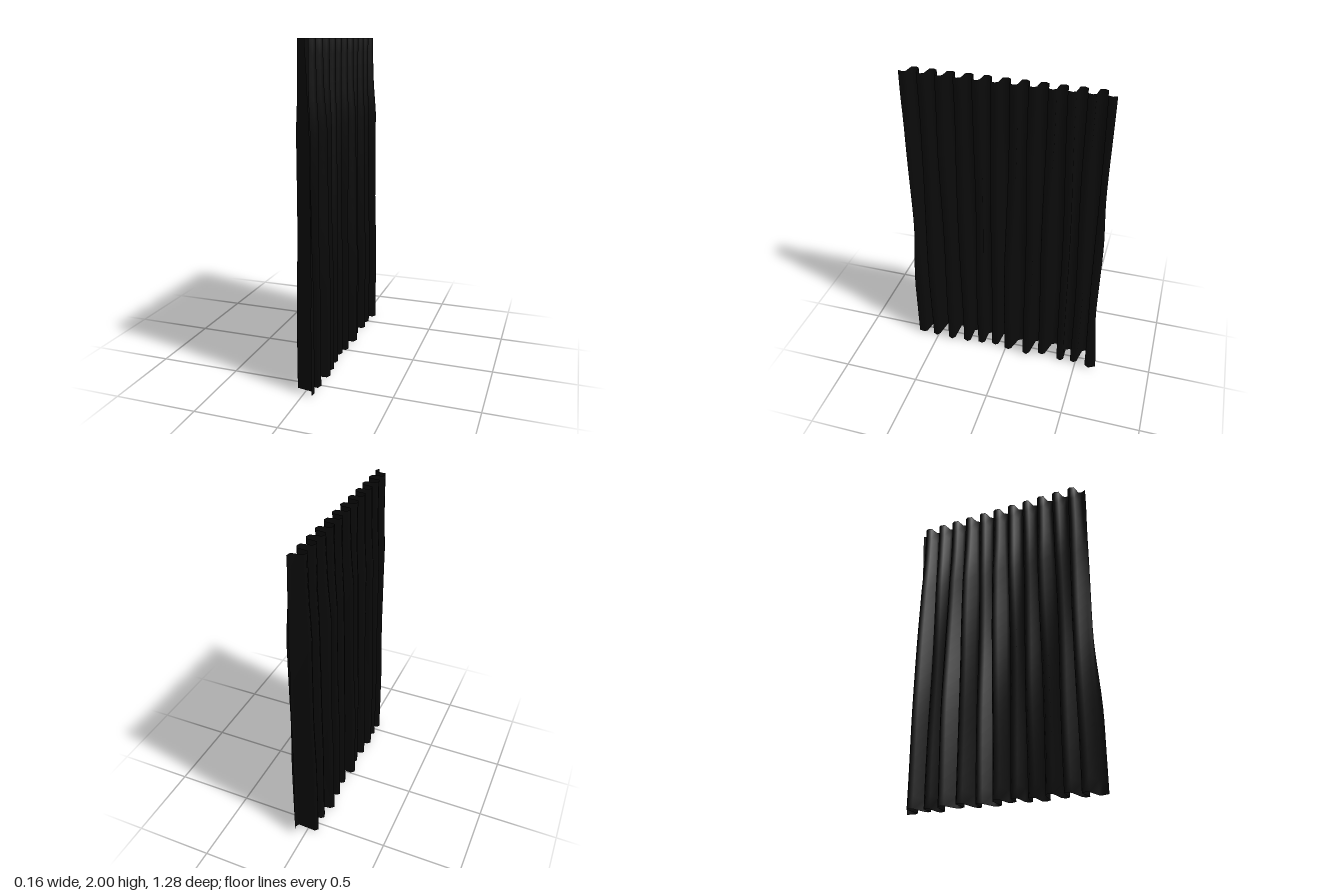
import * as THREE from 'three';

// Fold crests at the hem, one end to the other: [z, x], alternating sides
const crests = [
  [-0.59, 0.08], [-0.55, -0.07], [-0.485, 0.06], [-0.435, -0.06], [-0.39, 0.06], [-0.33, -0.085],
  [-0.255, 0.05], [-0.215, -0.075], [-0.15, 0.075], [-0.09, -0.06], [-0.015, 0.06], [0.025, -0.085],
  [0.08, 0.05], [0.13, -0.06], [0.18, 0.055], [0.24, -0.07], [0.285, 0.065], [0.345, -0.08],
  [0.395, 0.08], [0.45, -0.07], [0.515, 0.065], [0.55, -0.07], [0.615, 0.06],
];

// Profiles down the cloth, as [y, value]
const depth = [[0, 1], [0.5, 1], [1, 0.86], [1.5, 0.82], [1.8, 0.64], [2, 0.5]];
const backEdge = [[0, -0.64], [0.5, -0.61], [1, -0.615], [1.4, -0.6], [2, -0.605]];
const frontEdge = [[0, 0.645], [0.4, 0.645], [1, 0.615], [1.5, 0.62], [2, 0.63]];

function sample(table, y) {
  for (let i = 1; i < table.length; i++) {
    const [y0, a] = table[i - 1], [y1, b] = table[i];
    if (y <= y1) return THREE.MathUtils.lerp(a, b, THREE.MathUtils.smoothstep(y, y0, y1));
  }
  return table[table.length - 1][1];
}

// Pleated cross-section at height y: a flattened three-point crest per fold
function section(y) {
  const drop = THREE.MathUtils.smoothstep(2 - y, 0, 1.7);
  const amount = sample(depth, y);
  const points = [];
  crests.forEach(([zHem, xHem], i) => {
    const zTop = -0.578 + i * 0.0538;
    const sway = 0.007 * Math.sin(y * 2.6 + i * 1.9) * Math.sin((y * Math.PI) / 2);
    const z = THREE.MathUtils.lerp(zTop, zHem, drop) + sway;
    const xTop = Math.sign(xHem) * 0.041;
    const x = THREE.MathUtils.lerp(xTop, xHem * amount, Math.min(1, (2 - y) / 0.5));
    points.push([x * 0.72, z - 0.024], [x, z - 0.006], [x * 0.82, z + 0.022]);
  });
  // Free side edges
  points[0] = [0.055 * amount, sample(backEdge, y)];
  points[points.length - 1] = [0.055 * amount, sample(frontEdge, y)];
  return points;
}

export function createModel() {
  const group = new THREE.Group();
  group.name = 'curtain';

  const columns = crests.length * 3 - 1;
  const rows = 24;
  const geometry = new THREE.PlaneGeometry(1, 2, columns, rows);
  const position = geometry.attributes.position;
  for (let r = 0; r <= rows; r++) {
    const y = 2 * (1 - r / rows);
    section(y).forEach(([x, z], c) => {
      // Slightly uneven hem
      const lift = r === rows ? 0.006 + 0.006 * Math.sin(c * 0.37) : 0;
      position.setXYZ(r * (columns + 1) + c, x, y + lift, z);
    });
  }
  geometry.computeVertexNormals();

  const material = new THREE.MeshStandardMaterial({ color: 0x0a0a0a, side: THREE.DoubleSide });
  const cloth = new THREE.Mesh(geometry, material);
  cloth.name = 'pleatedCloth';
  group.add(cloth);
  return group;
}
